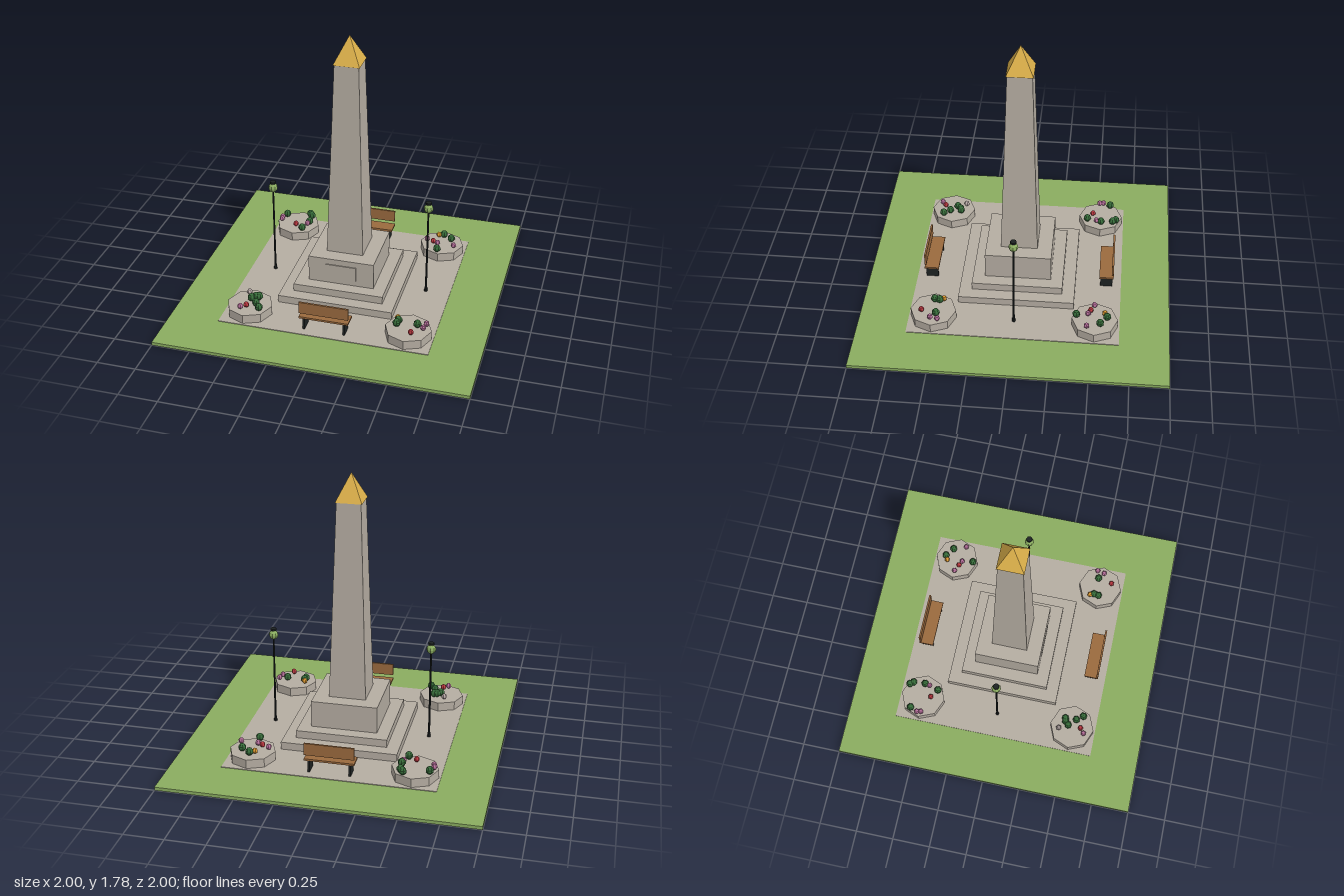
import * as THREE from 'three';

const mat = (name, color) => {
  const m = new THREE.MeshStandardMaterial({ color, flatShading: true });
  m.name = name;
  return m;
};

export function createModel() {
  const root = new THREE.Group();
  root.name = 'obeliskPlaza';

  const stone = mat('stone', 0xb5ada2);
  const grass = mat('grass', 0x8aac60);
  const gold = mat('gold', 0xdcb04a);
  const wood = mat('wood', 0x9a6a3e);
  const iron = mat('iron', 0x1d2222);
  const leaf = mat('leaf', 0x366b39);
  const pink = mat('pinkPetal', 0xb8709c);
  const red = mat('redPetal', 0xc03a42);
  const orange = mat('orangePetal', 0xd9962f);
  const pale = mat('palePetal', 0xb8aaa8);

  const add = (parent, name, geo, material, x = 0, y = 0, z = 0) => {
    const mesh = new THREE.Mesh(geo, material);
    mesh.name = name;
    mesh.position.set(x, y, z);
    parent.add(mesh);
    return mesh;
  };
  const group = (name, x = 0, z = 0) => {
    const g = new THREE.Group();
    g.name = name;
    g.position.set(x, 0, z);
    root.add(g);
    return g;
  };
  // box given by its width, depth and the heights of its bottom and top
  const slab = (parent, name, w, d, y0, y1, material, x = 0, z = 0) =>
    add(parent, name, new THREE.BoxGeometry(w, y1 - y0, d), material, x, (y0 + y1) / 2, z);
  // square tapered block given by its half widths
  const taper = (parent, name, top, bottom, y0, y1, material) => {
    const geo = new THREE.CylinderGeometry(top * Math.SQRT2, bottom * Math.SQRT2, y1 - y0, 4);
    geo.rotateY(Math.PI / 4);
    return add(parent, name, geo, material, 0, (y0 + y1) / 2, 0);
  };

  // Lawn and paving
  slab(root, 'lawn', 2, 2, 0, 0.022, grass);
  slab(root, 'paving', 1.36, 1.36, 0.018, 0.026, stone);

  // Obelisk on its stepped base
  const monument = group('monument');
  slab(monument, 'lowerStep', 0.756, 0.756, 0.02, 0.076, stone);
  slab(monument, 'upperStep', 0.594, 0.594, 0.076, 0.127, stone);
  slab(monument, 'pedestal', 0.434, 0.434, 0.127, 0.305, stone);
  slab(monument, 'plaque', 0.2, 0.008, 0.165, 0.265, stone, 0, 0.219);
  taper(monument, 'shaft', 0.078, 0.121, 0.305, 1.608, stone);
  taper(monument, 'capstone', 0, 0.085, 1.606, 1.782, gold);

  // Benches, with their backs to the outside
  for (const s of [1, -1]) {
    const bench = group(s > 0 ? 'frontBench' : 'backBench');
    slab(bench, 'seat', 0.32, 0.095, 0.107, 0.12, wood, 0, s * 0.582);
    slab(bench, 'backrest', 0.32, 0.012, 0.145, 0.225, wood, 0, s * 0.622);
    for (const x of [-0.13, 0.13])
      slab(bench, 'leg', 0.013, 0.08, 0.002, 0.107, iron, x, s * 0.582);
  }

  // Lamp posts
  for (const s of [1, -1]) {
    const lamp = group(s > 0 ? 'leftLamp' : 'rightLamp', s * 0.52);
    add(lamp, 'foot', new THREE.CylinderGeometry(0.009, 0.012, 0.035, 8), iron, 0, 0.04, 0);
    add(lamp, 'pole', new THREE.CylinderGeometry(0.006, 0.007, 0.6, 8), iron, 0, 0.325, 0);
    add(lamp, 'globe', new THREE.SphereGeometry(0.031, 8, 6), grass, 0, 0.652, 0);
    add(lamp, 'lampCap', new THREE.CylinderGeometry(0.02, 0.02, 0.013, 8), iron, 0, 0.69, 0);
  }

  // Planters: each plant is a position measured from the planter's centre
  const beds = [
    ['backRightPlanter', -1, -1, [
      [leaf, -0.1, -0.063], [leaf, 0.06, -0.106], [leaf, 0.076, -0.084], [leaf, 0.083, -0.004],
      [leaf, 0.056, 0.092], [pink, -0.121, -0.015], [pink, -0.116, 0.012], [pink, 0.076, 0.028],
      [red, 0, 0.055]]],
    ['backLeftPlanter', 1, -1, [
      [leaf, -0.001, -0.079], [leaf, 0.058, -0.036], [leaf, -0.012, 0.119], [orange, -0.033, -0.063],
      [pink, -0.103, 0.006], [pink, -0.023, 0.044], [pink, 0.09, 0.049], [red, -0.055, 0.028]]],
    ['frontRightPlanter', -1, 1, [
      [leaf, 0.001, -0.028], [leaf, 0.024, -0.05], [leaf, 0.044, -0.055], [leaf, 0.049, 0.02],
      [leaf, 0.081, 0.063], [pale, -0.031, -0.087], [pink, -0.036, 0.084], [red, -0.004, 0.058]]],
    ['frontLeftPlanter', 1, 1, [
      [leaf, -0.076, -0.001], [leaf, -0.071, -0.033], [leaf, 0.052, -0.023], [orange, -0.081, -0.06],
      [pink, 0.106, -0.039], [pink, 0.095, 0.009], [red, 0.031, 0.073]]],
  ];
  const rim = new THREE.CylinderGeometry(0.148, 0.148, 0.083, 8);
  const bush = new THREE.SphereGeometry(0.026, 7, 5);
  const bloom = new THREE.SphereGeometry(0.019, 6, 5);
  for (const [name, sx, sz, plants] of beds) {
    const bed = group(name, sx * 0.52, sz * 0.52);
    add(bed, 'planterWall', rim, stone, 0, 0.0435, 0);
    plants.forEach(([material, x, z], i) => {
      const green = material === leaf;
      const plant = add(bed, green ? 'bush' : 'flower', green ? bush : bloom, material, x, 0.111, z);
      plant.rotation.y = i * 0.7;
    });
  }

  return root;
}
